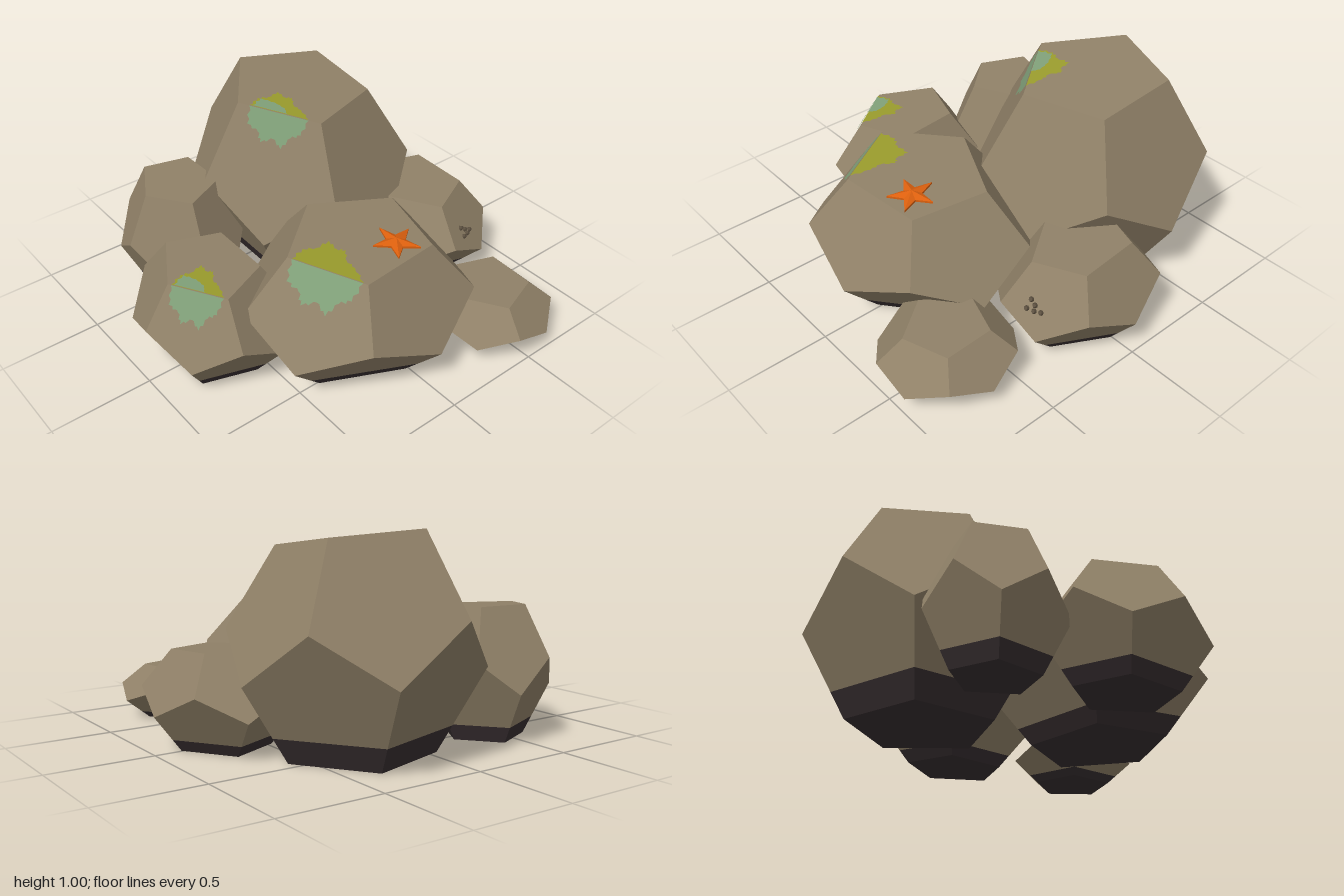
import * as THREE from 'three';

const mat = (name, color, side = THREE.FrontSide) => {
  const m = new THREE.MeshStandardMaterial({ color, side });
  m.name = name;
  return m;
};

// Flat-faced geometry from convex or fan-shaped polygons, each { pts, out }
function polyGeometry(polys) {
  const pos = [], nor = [];
  for (const { pts, out } of polys) {
    const n = newell(pts);
    const p = n.dot(out) < 0 ? [...pts].reverse() : pts;
    if (p !== pts) { n.negate(); p.unshift(p.pop()); }
    for (let i = 1; i < p.length - 1; i++)
      for (const v of [p[0], p[i], p[i + 1]]) { pos.push(v.x, v.y, v.z); nor.push(n.x, n.y, n.z); }
  }
  const g = new THREE.BufferGeometry();
  g.setAttribute('position', new THREE.Float32BufferAttribute(pos, 3));
  g.setAttribute('normal', new THREE.Float32BufferAttribute(nor, 3));
  return g;
}

function newell(pts) {
  const n = new THREE.Vector3();
  pts.forEach((a, i) => n.add(new THREE.Vector3().crossVectors(a, pts[(i + 1) % pts.length])));
  return n.normalize();
}

const centroid = pts => pts.reduce((s, p) => s.add(p), new THREE.Vector3()).divideScalar(pts.length);

// Keep the part of a polygon above (sign 1) or below (sign -1) height h
function cut(pts, h, sign) {
  const res = [];
  pts.forEach((a, i) => {
    const b = pts[(i + 1) % pts.length];
    const da = sign * (a.y - h), db = sign * (b.y - h);
    if (da >= 0) res.push(a.clone());
    if (da * db < 0) res.push(a.clone().lerp(b, da / (da - db)));
  });
  return res;
}

// Twelve-sided boulder: rings of five points, leaning by a slope in x and z
function boulderFaces({ x, z, sx, sz, height, turn, lean }) {
  const rings = [[0.795, 0.607, 0], [0.188, 0.982, 0], [-0.188, 0.982, 36], [-0.795, 0.607, 36]];
  const [T, U, L, B] = rings.map(([y, r, off]) => [0, 1, 2, 3, 4].map(k => {
    const a = (turn + off + 72 * k) * Math.PI / 180;
    const dx = Math.cos(a) * r * sx, dz = Math.sin(a) * r * sz;
    const h = (y / 0.795 + 1) / 2 * height * (1 + lean[0] * dx + lean[1] * dz);
    return new THREE.Vector3(x + dx, h, z + dz);
  }));
  const centre = new THREE.Vector3(x, height / 2, z);
  const face = pts => {
    const out = newell(pts);
    if (out.dot(centroid(pts).sub(centre)) < 0) out.negate();
    return { pts, out };
  };
  const sides = [], lower = [];
  for (let k = 0; k < 5; k++) {
    const j = (k + 1) % 5;
    sides.push(face([T[k], T[j], U[j], L[k], U[k]]));
    lower.push(face([B[k], B[j], L[j], U[j], L[k]]));
  }
  return { T, top: face(T), sides, lower, bottom: face(B) };
}

// Ragged patch outlines: [along the edge, away from the edge]
const TOP_PATCH = [[-1, 0], [-0.9, 0.45], [-0.6, 0.65], [-0.42, 1.05], [-0.1, 0.85], [0.12, 0.92], [0.3, 0.55], [0.6, 0.4], [1, 0]];
const SIDE_PATCH = [[-1, 0], [-0.95, 0.55], [-0.55, 0.7], [-0.4, 1], [0, 0.8], [0.3, 1.05], [0.55, 0.65], [0.85, 0.5], [1, 0]];
const SMALL_PATCH = [[-0.9, 0], [-0.8, 0.45], [-0.3, 0.42], [0.1, 0.25], [0.25, 0]];

function patchGeometry(face, a, b, outline, w, d, lift) {
  const mid = a.clone().lerp(b, 0.5);
  const along = b.clone().sub(a).normalize();
  const inward = centroid(face.pts).sub(mid);
  inward.addScaledVector(along, -inward.dot(along)).normalize();
  const at = (u, v) => mid.clone().addScaledVector(along, u * w)
    .addScaledVector(inward, v * d).addScaledVector(face.out, lift);
  const pts = [at(0, 0)];
  outline.forEach(([u, v], i) => {
    pts.push(at(u, v));
    const next = outline[i + 1];
    if (!next) return;
    for (const [t, s] of [[0.25, 0.95], [0.5, 1.04], [0.75, 0.95]])
      pts.push(at((u + (next[0] - u) * t) * s, (v + (next[1] - v) * t) * s));
  });
  return polyGeometry([{ pts, out: face.out }]);
}

export function createModel() {
  const model = new THREE.Group();
  model.name = 'boulderCluster';
  const stone = mat('stone', 0x8f8067);
  const wet = mat('wetStone', 0x372e30);
  const sage = mat('sageLichen', 0x7f9f78, THREE.DoubleSide);
  const olive = mat('oliveLichen', 0x989a2c, THREE.DoubleSide);
  const orange = mat('starfishOrange', 0xdc600e);
  const shell = mat('barnacleBrown', 0x5c5040);

  const add = (parent, name, geometry, material) => {
    const m = new THREE.Mesh(geometry, material);
    m.name = name;
    parent.add(m);
    return m;
  };

  const specs = [
    { name: 'backBoulder', x: 0.235, z: -0.45, sx: 0.587, sz: 0.587, height: 0.957, turn: -35, lean: [-0.04, -0.125], patch: [0.15, 0.16], spot: true },
    { name: 'frontBoulder', x: -0.06, z: 0.375, sx: 0.602, sz: 0.52, height: 0.62, turn: -25, lean: [-0.06, -0.13], patch: [0.17, 0.18] },
    { name: 'rightBoulder', x: -0.64, z: 0.015, sx: 0.367, sz: 0.42, height: 0.525, turn: -38, lean: [-0.04, -0.12], patch: [0.125, 0.16], spot: true },
    { name: 'backRightBoulder', x: -0.45, z: -0.53, sx: 0.32, sz: 0.335, height: 0.62, turn: -41, lean: [0, -0.12] },
    { name: 'leftBoulder', x: 0.655, z: 0.02, sx: 0.352, sz: 0.42, height: 0.445, turn: -39, lean: [0.02, -0.14] },
    { name: 'smallFrontBoulder', x: 0.515, z: 0.69, sx: 0.322, sz: 0.332, height: 0.26, turn: -36, lean: [-0.05, -0.2] },
  ];

  const built = {};
  for (const spec of specs) {
    const group = new THREE.Group();
    group.name = spec.name;
    model.add(group);
    const f = built[spec.name] = boulderFaces(spec);
    const band = spec.height * 0.127;

    // Dry stone above, damp band and underside below
    const part = sign => polyGeometry([f.top, ...f.sides, ...f.lower, f.bottom]
      .map(({ pts, out }) => ({ pts: cut(pts, band, sign), out })).filter(p => p.pts.length > 2));
    add(group, 'dryStone', part(1), stone);
    add(group, 'dampBase', part(-1), wet);

    // Lichen folded over the front right edge of the top
    if (spec.patch) {
      const [w, d] = spec.patch, a = f.T[3], b = f.T[2];
      add(group, 'topLichen', patchGeometry(f.top, a, b, TOP_PATCH, w, d, 0.004), olive);
      add(group, 'sideLichen', patchGeometry(f.sides[2], a, b, SIDE_PATCH, w, d, 0.005), sage);
      if (spec.spot) add(group, 'lichenSpot', patchGeometry(f.top, a, b, SMALL_PATCH, w, d, 0.007), sage);
    }
  }

  // Starfish: a low ridged star resting on the front boulder
  const top = built.frontBoulder.top;
  const onTop = (x, z, lift) => {
    const c = centroid(top.pts), n = top.out;
    return new THREE.Vector3(x, c.y - (n.x * (x - c.x) + n.z * (z - c.z)) / n.y + lift, z);
  };
  const rim = Array.from({ length: 10 }, (_, i) => {
    const a = -Math.PI / 2 + i * Math.PI / 5, r = i % 2 ? 0.046 : 0.115;
    return [0.057 + Math.cos(a) * r, 0.505 + Math.sin(a) * r];
  });
  const peak = onTop(0.057, 0.505, 0.03), up = new THREE.Vector3(0, 1, 0);
  const starFaces = [];
  rim.forEach(([x, z], i) => {
    const [x2, z2] = rim[(i + 1) % 10];
    const a = onTop(x, z, 0.01), b = onTop(x2, z2, 0.01);
    const a0 = onTop(x, z, 0), b0 = onTop(x2, z2, 0);
    const edge = b.clone().sub(a);
    starFaces.push({ pts: [peak, a, b], out: up });
    starFaces.push({ pts: [a, b, b0, a0], out: new THREE.Vector3(edge.z, 0, -edge.x) });
  });
  add(model, 'starfish', polyGeometry(starFaces), orange);

  // Barnacles on the front of the left boulder
  const front = built.leftBoulder.sides[1], fc = centroid(front.pts), n = front.out;
  const cone = new THREE.CylinderGeometry(0.008, 0.014, 0.016, 8);
  for (const [x, y] of [[0.677, 0.302], [0.677, 0.267], [0.703, 0.285], [0.711, 0.264], [0.74, 0.266]]) {
    const z = fc.z - (n.x * (x - fc.x) + n.y * (y - fc.y)) / n.z;
    const b = add(model, 'barnacle', cone, shell);
    b.position.set(x, y, z).addScaledVector(n, 0.006);
    b.quaternion.setFromUnitVectors(up, n);
  }
  return model;
}
